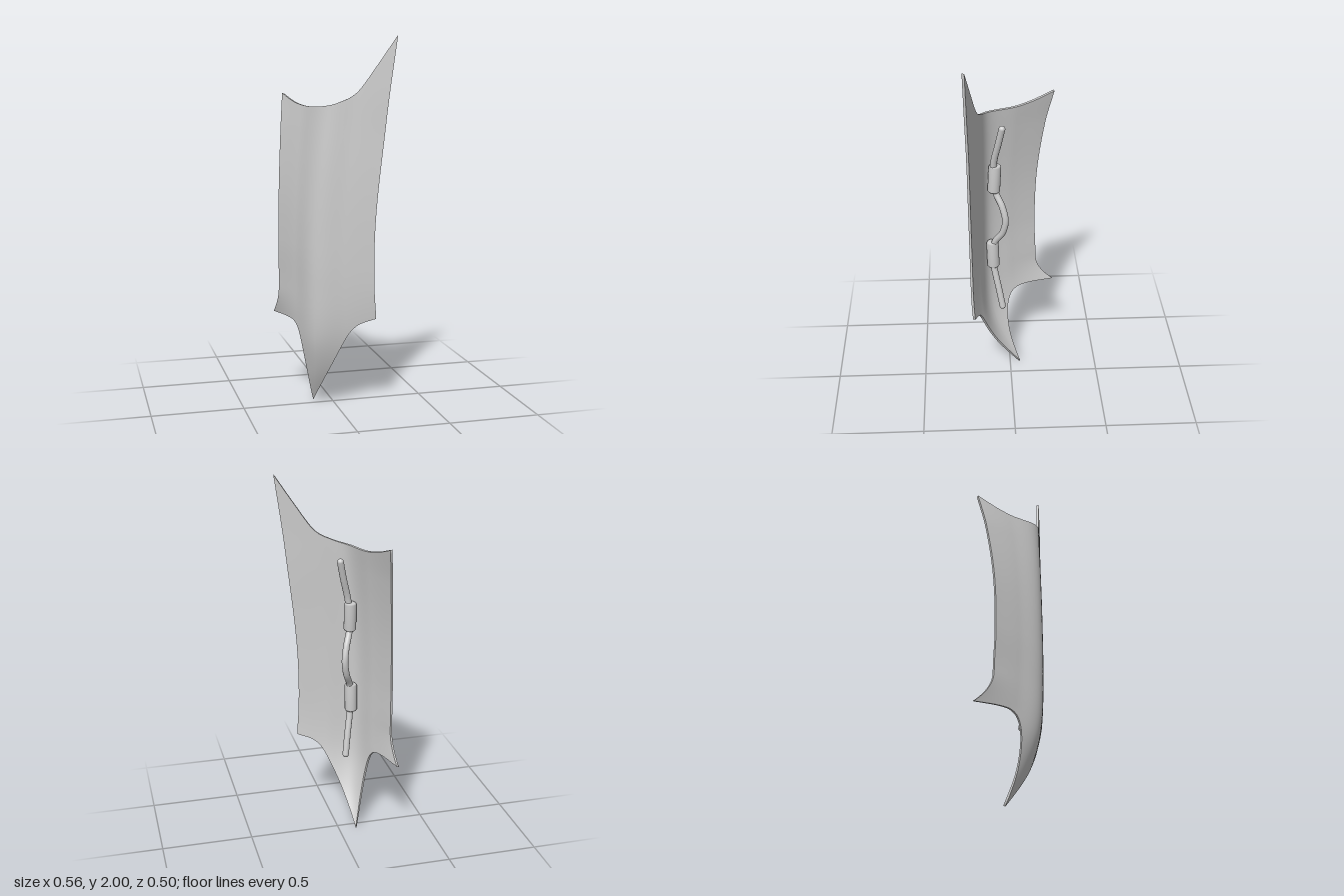
import * as THREE from 'three';

const V = (x, y, z) => new THREE.Vector3(x, y, z);

// Smooth interpolation through keys [t, a, b, ...]; returns the array [a, b, ...]
function track(keys, t) {
  const n = keys.length;
  let i = 0;
  while (i < n - 2 && t > keys[i + 1][0]) i++;
  const slope = (j, c) => {
    const p = keys[Math.max(j - 1, 0)], q = keys[Math.min(j + 1, n - 1)];
    return (q[c] - p[c]) / (q[0] - p[0]);
  };
  const k0 = keys[i], k1 = keys[i + 1], h = k1[0] - k0[0];
  const s = THREE.MathUtils.clamp((t - k0[0]) / h, 0, 1), s2 = s * s, s3 = s2 * s;
  return k0.slice(1).map((a, j) =>
    (2 * s3 - 3 * s2 + 1) * a + (s3 - 2 * s2 + s) * h * slope(i, j + 1) +
    (3 * s2 - 2 * s3) * k1[j + 1] + (s3 - s2) * h * slope(i + 1, j + 1));
}

// Plan position [y, x, z] of both side edges and the centre ridge
const EDGE_A = [[0, -0.24, -0.32], [0.2, -0.255, -0.22], [0.4, -0.268, -0.16], [0.7, -0.27, -0.147],
  [0.9, -0.272, -0.14], [1.2, -0.265, -0.15], [1.5, -0.245, -0.19], [1.69, -0.225, -0.235]];
const RIDGE = [[0, -0.1, -0.05], [0.2, -0.115, 0.055], [0.4, -0.13, 0.115], [0.7, -0.138, 0.13],
  [1, -0.135, 0.13], [1.3, -0.115, 0.13], [1.64, -0.08, 0.128], [2, -0.05, 0.125]];
const EDGE_B = [[0, 0.2, 0.05], [0.2, 0.185, 0.15], [0.4, 0.18, 0.2], [0.52, 0.18, 0.217], [0.65, 0.17, 0.224],
  [0.8, 0.166, 0.226], [1, 0.17, 0.228], [1.2, 0.185, 0.23], [1.5, 0.218, 0.233], [1.7, 0.24, 0.238], [2, 0.28, 0.245]];

// Rim heights [u, y] across the plate
const TOP = [[0, 1.69], [0.15, 1.65], [0.3, 1.632], [0.5, 1.637], [0.62, 1.657], [0.75, 1.71], [0.88, 1.85], [1, 2]];
const LOW_A = [[0, 0.47], [0.15, 0.475], [0.24, 0.462], [0.3, 0.41], [0.4, 0.2], [0.5, 0]];
const LOW_B = [[0.5, 0], [0.62, 0.2], [0.76, 0.4], [0.82, 0.455], [0.88, 0.483], [1, 0.51]];

// Rounded V cross-section of the plate at height y
function platePoint(u, y) {
  const [a, c, b] = [EDGE_A, RIDGE, EDGE_B].map(k => {
    const [x, z] = track(k, y);
    return V(x, 0, z);
  });
  const mid = (p, q) => {
    const d = q.clone().sub(p).normalize();
    return p.clone().lerp(q, 0.5).add(V(-d.z, 0, d.x).multiplyScalar(0.005));
  };
  const p = new THREE.CatmullRomCurve3([a, mid(a, c), c, mid(c, b), b]).getPoint(u);
  // swept-back lower corner
  const f = THREE.MathUtils.clamp((0.64 - y) / 0.17, 0, 1) ** 2 * Math.max(0, 1 - u / 0.4) ** 2;
  return V(p.x - 0.01 * f, y, p.z - 0.1 * f);
}

function makePlate(material) {
  const NU = 56, NV = 56, W = NU + 1, thickness = 0.013;
  const outer = [], index = [];
  for (let j = 0; j <= NV; j++) {
    for (let i = 0; i <= NU; i++) {
      const u = i / NU;
      const low = track(u < 0.5 ? LOW_A : LOW_B, u)[0], top = track(TOP, u)[0];
      outer.push(platePoint(u, low + (top - low) * j / NV));
      if (i < NU && j < NV) {
        const a = j * W + i;
        index.push(a, a + 1, a + W + 1, a, a + W + 1, a + W);
      }
    }
  }
  const surface = (pts, idx) => {
    const g = new THREE.BufferGeometry().setFromPoints(pts);
    g.setIndex(idx);
    g.computeVertexNormals();
    return g;
  };
  const front = surface(outer, index);
  const normals = front.attributes.normal;
  const inner = outer.map((p, i) =>
    p.clone().addScaledVector(V(0, 0, 0).fromBufferAttribute(normals, i), -thickness));
  inner.forEach(p => { p.y = THREE.MathUtils.clamp(p.y, 0, 2); });
  const back = surface(inner, index.slice().reverse());

  // Thin rim joining both faces, counter-clockwise round the outline
  const loop = [];
  for (let i = 0; i < NU; i++) loop.push(i);
  for (let j = 0; j < NV; j++) loop.push(j * W + NU);
  for (let i = NU; i > 0; i--) loop.push(NV * W + i);
  for (let j = NV; j > 0; j--) loop.push(j * W);
  const rimPts = [], rimIdx = [];
  loop.forEach((k, i) => {
    rimPts.push(outer[k], inner[k]);
    const a = 2 * i, b = 2 * ((i + 1) % loop.length);
    rimIdx.push(a, a + 1, b + 1, a, b + 1, b);
  });

  const plate = new THREE.Group();
  plate.name = 'plate';
  const parts = { plateFront: front, plateBack: back, plateRim: surface(rimPts, rimIdx) };
  for (const [name, g] of Object.entries(parts)) {
    const m = new THREE.Mesh(g, material);
    m.name = name;
    plate.add(m);
  }
  return plate;
}

export function createModel() {
  const material = new THREE.MeshStandardMaterial({ color: 0xcccccc, side: THREE.DoubleSide });
  const model = new THREE.Group();
  const add = (geometry, name) => {
    const mesh = new THREE.Mesh(geometry, material);
    mesh.name = name;
    model.add(mesh);
    return mesh;
  };
  model.add(makePlate(material));

  // Grip cord running down the inside
  const cord = new THREE.CatmullRomCurve3([
    V(-0.028, 1.56, 0.045), V(-0.05, 1.46, 0.065), V(-0.08, 1.34, 0.088), V(-0.092, 1.24, 0.088),
    V(-0.088, 1.16, 0.08), V(-0.062, 1.08, 0.045), V(-0.05, 1, 0.028), V(-0.062, 0.92, 0.042),
    V(-0.092, 0.84, 0.085), V(-0.1, 0.76, 0.097), V(-0.095, 0.67, 0.09), V(-0.075, 0.54, 0.065), V(-0.06, 0.43, 0.045),
  ]);
  add(new THREE.TubeGeometry(cord, 96, 0.018, 14), 'gripCord');
  for (const t of [0, 1]) {
    const end = add(new THREE.SphereGeometry(0.018, 14, 10), 'cordEnd');
    end.position.copy(cord.getPoint(t));
  }

  // Sleeves holding the cord to the plate
  const sleeveProfile = [[0.001, -0.08], [0.028, -0.08], [0.034, -0.072], [0.034, 0.072], [0.028, 0.08], [0.001, 0.08]]
    .map(([r, y]) => new THREE.Vector2(r, y));
  for (const [x, y, z, tilt] of [[-0.093, 1.238, 0.085, 0.05], [-0.102, 0.757, 0.096, -0.03]]) {
    const sleeve = add(new THREE.LatheGeometry(sleeveProfile, 20), 'cordSleeve');
    sleeve.position.set(x, y, z);
    sleeve.rotation.x = -tilt;
  }
  return model;
}
